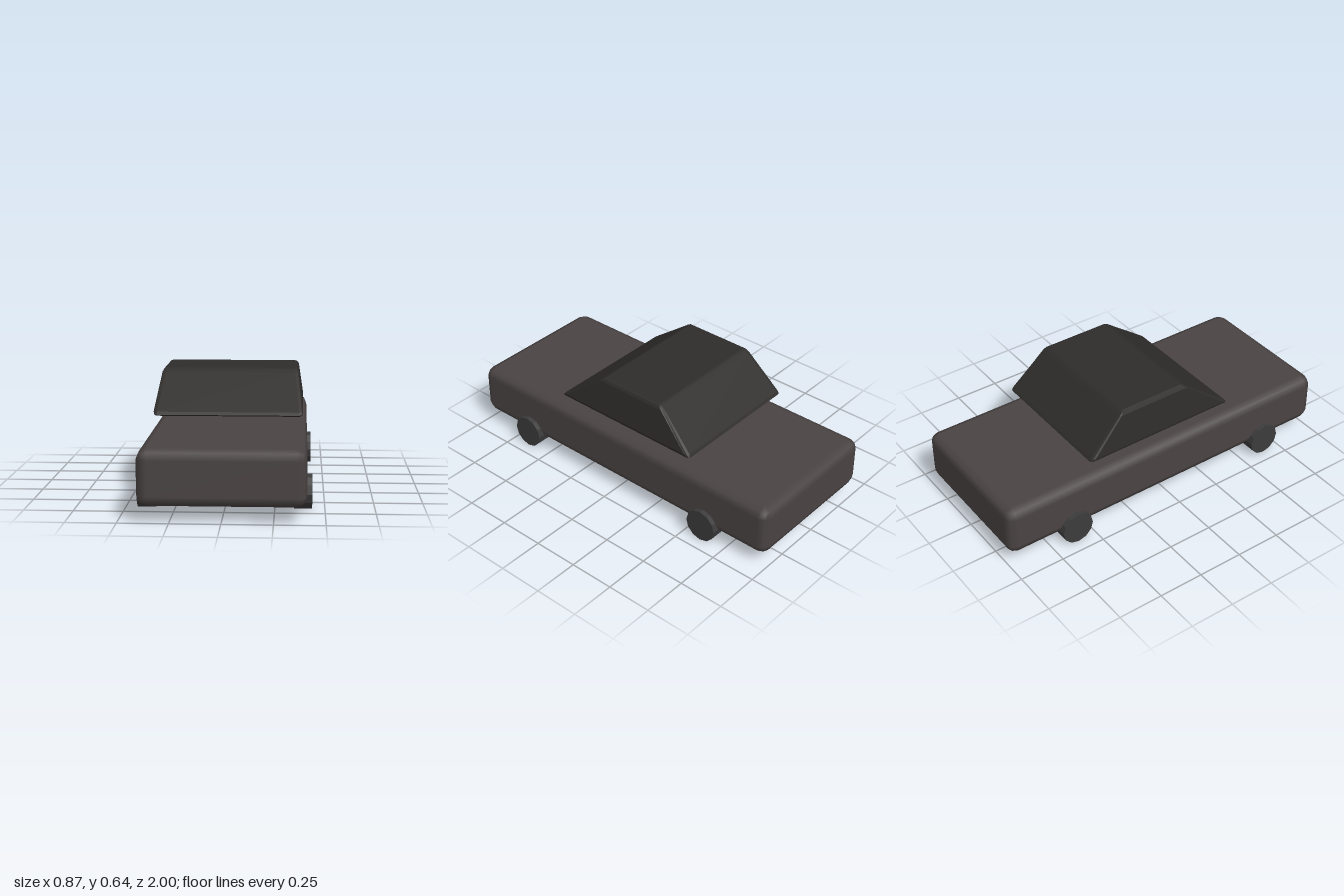
import * as THREE from 'three';
import { RoundedBoxGeometry } from 'three/addons/geometries/RoundedBoxGeometry.js';

const lerp = THREE.MathUtils.lerp;
const paint = (color, flatShading = false) => new THREE.MeshStandardMaterial({ color, flatShading });

// Rounded box whose sides lean inward towards the roof
function cabinGeometry(width, height, bottomZ, topZ, topScale) {
  const geo = new RoundedBoxGeometry(width, height, 1, 1, 0.02);
  const p = geo.attributes.position;
  for (let i = 0; i < p.count; i++) {
    const t = p.getY(i) / height + 0.5;
    const s = p.getZ(i) + 0.5;
    p.setX(i, p.getX(i) * lerp(1, topScale, t));
    p.setZ(i, lerp(lerp(bottomZ[0], bottomZ[1], s), lerp(topZ[0], topZ[1], s), t));
  }
  geo.computeVertexNormals();
  return geo;
}

export function createModel() {
  const car = new THREE.Group();
  car.name = 'car';

  function add(name, geo, material, x, y, z) {
    const mesh = new THREE.Mesh(geo, material);
    mesh.name = name;
    mesh.position.set(x, y, z);
    car.add(mesh);
  }

  // Long slab body with softened edges
  add('body', new RoundedBoxGeometry(0.82, 0.28, 2, 1, 0.052), paint(0x4a4443), 0, 0.215, 0);

  // Cabin, set above the body with a gap
  add('cabin', cabinGeometry(0.78, 0.22, [-0.5, 0.408], [-0.272, 0.115], 0.925),
    paint(0x2f2d2b, true), 0, 0.535, 0);

  // Four short twelve-sided wheels
  const wheelGeo = new THREE.CylinderGeometry(0.09, 0.09, 0.09, 12).rotateZ(Math.PI / 2);
  const rubber = paint(0x3c3c3c, true);
  for (const [end, z] of [['front', 0.64], ['rear', -0.61]]) {
    for (const [side, sign] of [['Left', 1], ['Right', -1]]) {
      add(`${end}${side}Wheel`, wheelGeo, rubber, sign * 0.391, 0.09, z);
    }
  }
  return car;
}
